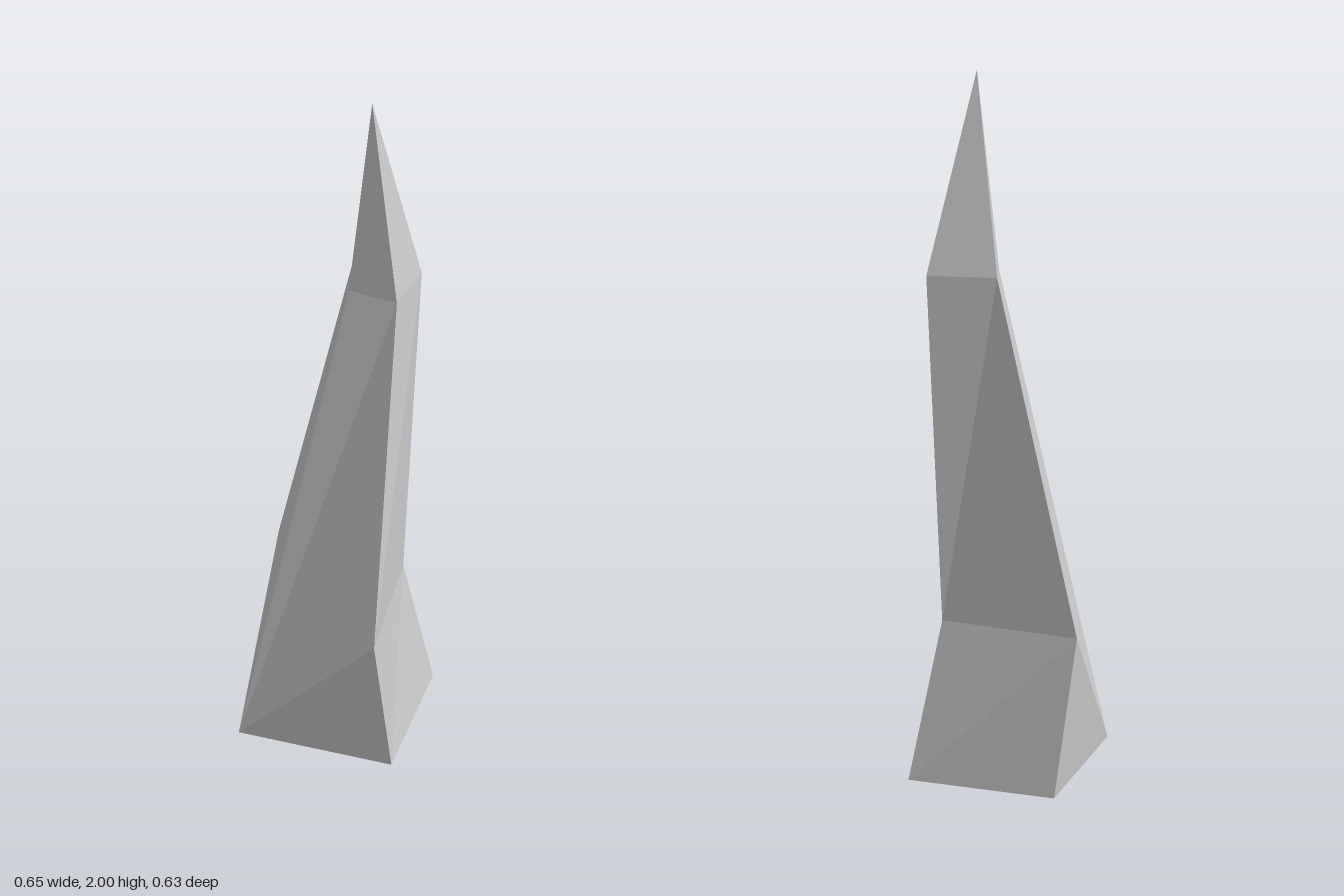
import * as THREE from 'three';

// Corner order in every ring: -x side, front, +x side, back
const base = [[-0.325, 0.015, 0], [0.026, 0, 0.31], [0.325, 0, 0], [0.024, 0, -0.312]];
// The -x corner stays at the base, so its edge runs straight up to the shoulder
const knee = [base[0], [-0.036, 0.46, 0.313], [0.215, 0.46, 0], [-0.044, 0.46, -0.315]];
const shoulder = [[0.034, 1.45, 0], [0.122, 1.45, 0.114], [0.256, 1.45, 0], [0.1, 1.45, -0.117]];
const tip = Array(4).fill([0.1, 2, 0]);

// Joins rings into a closed flat-sided solid, leaving out collapsed triangles
function loft(rings) {
  const positions = [];
  const triangle = (a, b, c) => {
    if (a !== b && b !== c && c !== a) positions.push(...a, ...b, ...c);
  };
  for (let r = 0; r < rings.length - 1; r++) {
    const low = rings[r], high = rings[r + 1];
    for (let i = 0; i < 4; i++) {
      const j = (i + 1) % 4;
      triangle(low[i], low[j], high[j]);
      triangle(low[i], high[j], high[i]);
    }
  }
  // Underside
  const [a, b, c, d] = rings[0];
  triangle(a, d, c);
  triangle(a, c, b);
  const geometry = new THREE.BufferGeometry();
  geometry.setAttribute('position', new THREE.Float32BufferAttribute(positions, 3));
  geometry.computeVertexNormals();
  return geometry;
}

export function createModel() {
  const group = new THREE.Group();
  group.name = 'spike';
  // Bent four-sided horn
  const material = new THREE.MeshStandardMaterial({ color: 0xcccccc, flatShading: true });
  const horn = new THREE.Mesh(loft([base, knee, shoulder, tip]), material);
  horn.name = 'horn';
  group.add(horn);
  return group;
}
